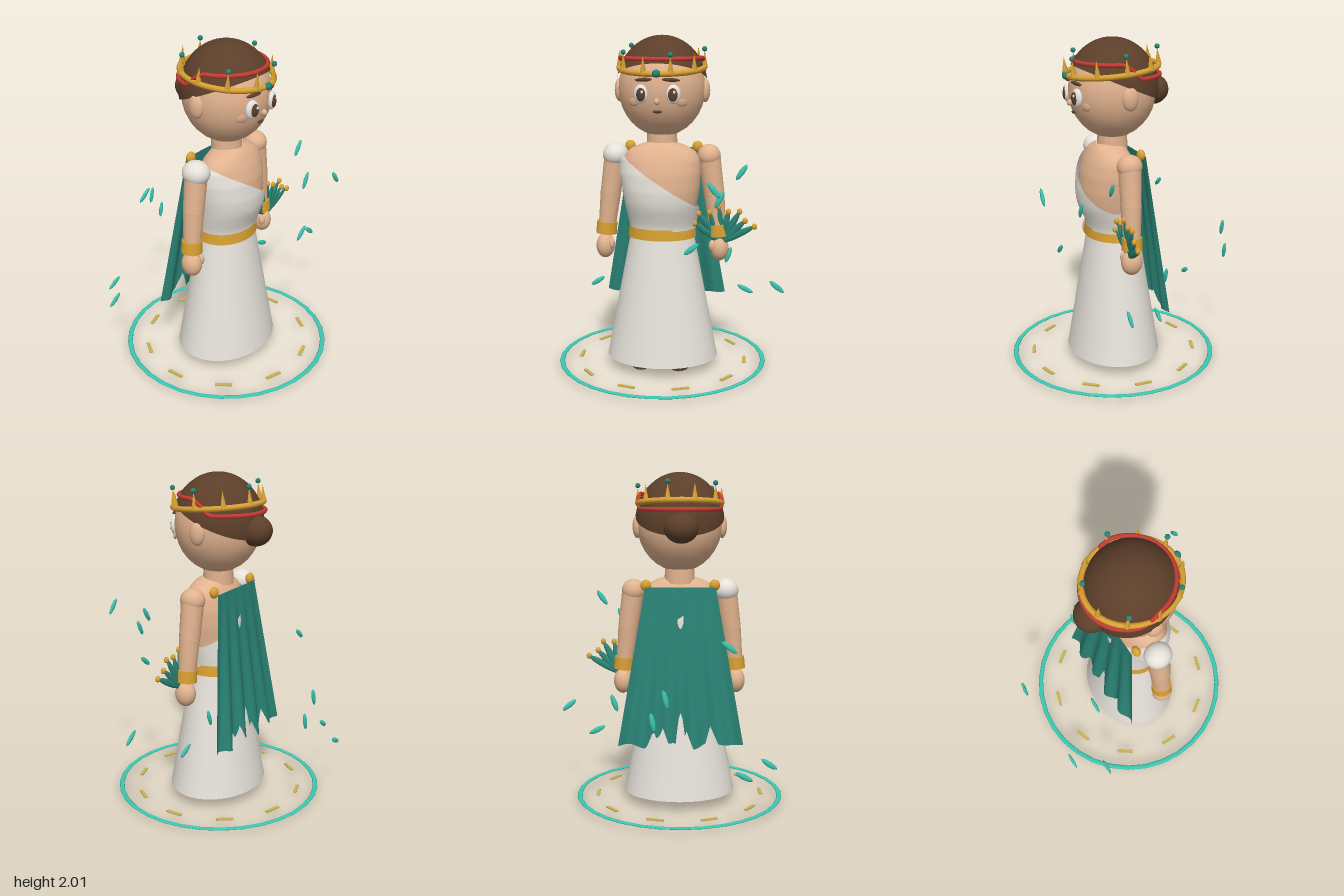
import * as THREE from 'three';

const flat = (name, color, double) => {
  const m = new THREE.MeshStandardMaterial({ color });
  m.name = name;
  if (double) m.side = THREE.DoubleSide;
  return m;
};
const skin = flat('skin', 0xe2b38f), blush = flat('blush', 0xcf9f80), brown = flat('hair brown', 0x5c3f2a);
const gold = flat('gold', 0xd9a132, true), paleGold = flat('pale gold', 0xc9b152);
const teal = flat('cape teal', 0x2a8375, true), aqua = flat('bright teal', 0x3cc8b2);
const cloth = flat('dress white', 0xe6e2da, true), eyeWhite = flat('eye white', 0xf4f2ee), red = flat('ribbon red', 0xc23b32);

const UP = new THREE.Vector3(0, 1, 0);
const lerp = THREE.MathUtils.lerp;

function add(parent, name, geo, mat, pos = [0, 0, 0], scale = [1, 1, 1]) {
  const m = new THREE.Mesh(geo, mat);
  m.name = name;
  m.position.set(...pos);
  m.scale.set(...scale);
  parent.add(m);
  return m;
}
const ball = (parent, name, mat, pos, scale) => add(parent, name, new THREE.SphereGeometry(1, 24, 16), mat, pos, scale);

// Tapered limb between two points
function limb(parent, name, mat, a, b, r1, r2) {
  const p = new THREE.Vector3(...a), q = new THREE.Vector3(...b);
  const m = add(parent, name, new THREE.CylinderGeometry(r2, r1, p.distanceTo(q), 18), mat);
  m.position.copy(p).lerp(q, 0.5);
  m.quaternion.setFromUnitVectors(UP, q.sub(p).normalize());
  return m;
}

// Grid surface from a rule f(u, v) -> [x, y, z]
function surface(nu, nv, f, closed) {
  const pos = [], idx = [], w = closed ? nu : nu + 1;
  for (let i = 0; i <= nv; i++) for (let j = 0; j < w; j++) pos.push(...f(j / nu, i / nv));
  for (let i = 0; i < nv; i++) for (let j = 0; j < nu; j++) {
    const k = (j + 1) % w, a = i * w + j, b = i * w + k, c = b + w, d = a + w;
    idx.push(a, b, c, a, c, d);
  }
  const g = new THREE.BufferGeometry();
  g.setAttribute('position', new THREE.Float32BufferAttribute(pos, 3));
  g.setIndex(idx);
  g.computeVertexNormals();
  return g;
}

// Torso cross-sections: height, half width, half depth
const TORSO = [[0.8, 0.185, 0.15], [0.88, 0.19, 0.152], [1.0, 0.212, 0.168], [1.1, 0.228, 0.175],
  [1.2, 0.235, 0.165], [1.28, 0.228, 0.14], [1.33, 0.2, 0.115], [1.36, 0.14, 0.095], [1.38, 0.07, 0.07]];
function torsoAt(a, y, off = 0) {
  let i = 0;
  while (i < TORSO.length - 2 && y > TORSO[i + 1][0]) i++;
  const [y0, w0, d0] = TORSO[i], [y1, w1, d1] = TORSO[i + 1], t = (y - y0) / (y1 - y0);
  const zc = 0.03 * THREE.MathUtils.smoothstep(y, 0.85, 1.05);
  return [Math.sin(a) * (lerp(w0, w1, t) + off), y, Math.cos(a) * (lerp(d0, d1, t) + off) + zc];
}

function buildBody(body) {
  const TAU = Math.PI * 2;
  add(body, 'torso', surface(36, 30, (u, v) => torsoAt(u * TAU, lerp(0.8, 1.38, v)), true), skin);
  add(body, 'neck', new THREE.CylinderGeometry(0.088, 0.092, 0.12, 24), skin, [0, 1.4, 0]);

  // One-shouldered dress
  const neckline = a => 1.147 - 0.16 * Math.sin(a);
  add(body, 'bodice', surface(48, 16, (u, v) => torsoAt(u * TAU, lerp(0.82, neckline(u * TAU), v), 0.008), true), cloth);
  add(body, 'sash', surface(36, 12, (u, v) => {
    const a = lerp(-1.7, 1.6, u), low = Math.max(0.86, 0.951 - 0.25 * Math.sin(a));
    return torsoAt(a, lerp(low, neckline(a) + 0.006, v), 0.018);
  }), cloth);
  add(body, 'skirt', surface(32, 10, (u, v) => {
    const a = u * TAU;
    return [Math.sin(a) * lerp(0.34, 0.185, v), lerp(0.05, 0.86, v), Math.cos(a) * lerp(0.28, 0.15, v)];
  }, true), cloth);
  add(body, 'belt', surface(36, 1, (u, v) => {
    const a = u * TAU;
    return [Math.sin(a) * lerp(0.207, 0.2, v), lerp(0.805, 0.87, v), Math.cos(a) * lerp(0.171, 0.166, v)];
  }, true), gold);

  for (const s of [-1, 1]) {
    // Arms
    const shoulder = [s * 0.28, 1.295, 0], elbow = [s * 0.312, 1.07, 0.003], wrist = [s * 0.34, 0.83, 0.008];
    ball(body, 'shoulder', skin, shoulder, [0.07, 0.07, 0.075]);
    limb(body, 'upperArm', skin, shoulder, elbow, 0.068, 0.062);
    ball(body, 'elbow', skin, elbow, [0.062, 0.062, 0.062]);
    limb(body, 'forearm', skin, elbow, wrist, 0.062, 0.05);
    limb(body, 'cuff', gold, [s * 0.336, 0.885, 0.007], [s * 0.342, 0.812, 0.008], 0.061, 0.063);
    ball(body, 'hand', skin, [s * 0.348, 0.735, 0.012], [0.056, 0.077, 0.064]);
    ball(body, 'thumb', skin, [s * 0.305, 0.755, 0.045], [0.02, 0.035, 0.022]);
    // Legs and sandals
    const x = s * 0.115;
    add(body, 'leg', new THREE.CylinderGeometry(0.06, 0.045, 0.5, 18), skin, [x, 0.3, -0.01]);
    ball(body, 'foot', skin, [x, 0.04, 0.06], [0.055, 0.035, 0.11]);
    add(body, 'sole', new THREE.CylinderGeometry(1, 1, 0.024, 24), brown, [x, 0.014, 0.062], [0.066, 1, 0.124]);
    add(body, 'toeStrap', new THREE.TorusGeometry(0.05, 0.01, 8, 20), brown, [x, 0.035, 0.1], [1.1, 0.8, 1]);
    add(body, 'ankleStrap', new THREE.TorusGeometry(0.05, 0.01, 8, 20).rotateX(Math.PI / 2), brown, [x, 0.1, -0.01]);
    ball(body, 'capePin', gold, [s * 0.205, 1.335, -0.1], [0.032, 0.034, 0.024]);
  }
  ball(body, 'shoulderDrape', cloth, [-0.28, 1.295, 0], [0.078, 0.072, 0.084]);

  // Cape with folds and a torn hem
  const tears = [-0.5, -0.1, 0.3, 0.45];
  add(body, 'cape', surface(60, 20, (u, v) => {
    const k = u * 2 - 1;
    let hem = 0.385 + 0.02 * Math.sin(k * 9) * (1 - k * k);
    for (const t of tears) hem += 0.1 * Math.max(0, 1 - Math.abs(k - t) / 0.1);
    const y = lerp(1.325, hem, v), f = (1.325 - y) / 0.94;
    return [k * lerp(0.21, 0.375, f), y, lerp(-0.13, -0.23, f) + 0.018 * f * Math.cos(k * 15) + 0.02 * k * k * f];
  }), teal);
}

function buildHead(body) {
  const head = new THREE.Group();
  head.name = 'head';
  body.add(head);
  ball(head, 'face', skin, [0, 1.695, 0], [0.256, 0.285, 0.26]);
  const cap = new THREE.SphereGeometry(1, 36, 18, 0, Math.PI * 2, 0, 1.43).rotateX(-0.37);
  const hair = add(head, 'hair', cap, brown, [0, 1.7, 0], [0.268, 0.3, 0.275]);
  hair.castShadow = false;
  ball(head, 'bun', brown, [0, 1.68, -0.255], [0.1, 0.09, 0.098]);

  // Features sit on the face surface and turn with it
  const feature = (name, mat, x, y, size, out = 0) => {
    const z = 0.26 * Math.sqrt(1 - (x / 0.256) ** 2 - ((y - 1.695) / 0.285) ** 2);
    const m = ball(head, name, mat, [x, y, z + out], size);
    m.rotation.y = Math.atan2(x / 0.256 ** 2, z / 0.26 ** 2) * 0.8;
    return m;
  };
  for (const s of [-1, 1]) {
    ball(head, 'ear', skin, [s * 0.253, 1.68, -0.015], [0.03, 0.07, 0.048]);
    feature('eye', eyeWhite, s * 0.093, 1.677, [0.042, 0.054, 0.022], 0.006);
    feature('iris', brown, s * 0.091, 1.675, [0.028, 0.038, 0.012], 0.021);
    feature('eyeGlint', eyeWhite, s * 0.091 + 0.008, 1.69, [0.008, 0.009, 0.005], 0.032);
    feature('brow', brown, s * 0.078, 1.757, [0.052, 0.011, 0.012], 0.006).rotation.z = -s * 0.06;
    feature('cheek', blush, s * 0.139, 1.628, [0.034, 0.023, 0.01], 0.003);
  }
  feature('nose', skin, 0, 1.635, [0.016, 0.019, 0.02], 0.006);
  feature('mouth', brown, 0, 1.577, [0.027, 0.009, 0.01], 0.002);

  // Ribbon steps down behind the ears
  const pts = Array.from({ length: 28 }, (_, i) => {
    const a = i / 28 * Math.PI * 2, z = 0.255 * Math.cos(a) - 0.027;
    return new THREE.Vector3(0.245 * Math.sin(a), lerp(1.785, 1.87, THREE.MathUtils.smoothstep(z, -0.1, 0.02)), z);
  });
  add(head, 'ribbon', new THREE.TubeGeometry(new THREE.CatmullRomCurve3(pts, true), 84, 0.013, 8, true), red);

  // Crown: band, ten spikes, beads on every other one
  const crown = new THREE.Group();
  crown.name = 'crown';
  crown.position.y = 1.815;
  crown.rotation.x = 0.09;
  head.add(crown);
  add(crown, 'crownBand', new THREE.TorusGeometry(1, 0.06, 10, 48).rotateX(Math.PI / 2), gold, [0, 0, 0], [0.25, 0.28, 0.275]);
  for (let k = 0; k < 10; k++) {
    const a = k * Math.PI / 5, x = 0.25 * Math.cos(a), z = 0.275 * Math.sin(a);
    add(crown, 'crownSpike', new THREE.ConeGeometry(0.021, 0.1, 6), gold, [x, 0.048, z]);
    if (k % 2 === 0) ball(crown, 'crownBead', teal, [x, 0.106, z], [0.015, 0.015, 0.015]);
  }
  ball(crown, 'crownJewel', teal, [0, 0.005, 0.288], [0.023, 0.023, 0.018]);
}

export function createModel() {
  const model = new THREE.Group();
  model.name = 'figure';
  const body = new THREE.Group();
  body.name = 'body';
  body.position.set(-0.05, 0, 0.03);
  model.add(body);
  buildBody(body);
  buildHead(body);

  // Fan of leaves held in the left hand
  for (let i = 0; i < 8; i++) {
    const a = lerp(0.5, 2.5, i / 7), len = i % 2 ? 0.2 : 0.225, dx = Math.cos(a), dy = Math.sin(a);
    const leaf = ball(model, 'heldLeaf', teal, [0.31 + dx * len * 0.5, 0.775 + dy * len * 0.5, 0.075], [0.021, len * 0.5, 0.011]);
    leaf.rotation.set(0.12, 0, a - Math.PI / 2);
    ball(model, 'leafTip', gold, [0.31 + dx * len, 0.775 + dy * len, 0.09], [0.016, 0.019, 0.014]);
  }

  // Drifting leaves: position, then lean in x and y
  const drift = [[0.29, 1.19, 0.57, 12, -15], [0.31, 1.095, 0.355, 9, 18], [0.43, 1.23, 0.215, 11, 16],
    [0.16, 0.825, 0.435, 16, 13], [0.645, 0.545, 0.19, 17, -14], [0.455, 0.45, -0.06, 18, -9],
    [-0.317, 1.015, -0.39, 17, 13], [0.05, 0.78, -0.675, 5, 20], [0.12, 0.65, -0.66, 4, 20],
    [-0.546, 0.35, -0.466, 18, 12], [-0.385, 0.33, -0.63, 15, 8], [0.345, 0.64, -0.155, 5, 15]];
  for (const [x, y, z, dx, dy] of drift) {
    const g = new THREE.SphereGeometry(1, 6, 4);
    add(model, 'driftingLeaf', g, aqua, [x, y, z], [0.017, 0.056, 0.011]).rotation.z = Math.atan2(-dx, dy);
  }

  // Ground circle with dashes
  add(model, 'groundRing', new THREE.TorusGeometry(0.623, 0.015, 8, 32).rotateX(Math.PI / 2), aqua, [-0.05, 0.02, 0.028], [1, 0.4, 1]);
  for (let k = 0; k < 10; k++) {
    const a = k * Math.PI / 5;
    const pos = [-0.05 + 0.507 * Math.cos(a), 0.02, 0.028 - 0.507 * Math.sin(a)];
    add(model, 'groundDash', new THREE.BoxGeometry(0.021, 0.008, 0.102), paleGold, pos).rotation.y = a;
  }
  return model;
}
